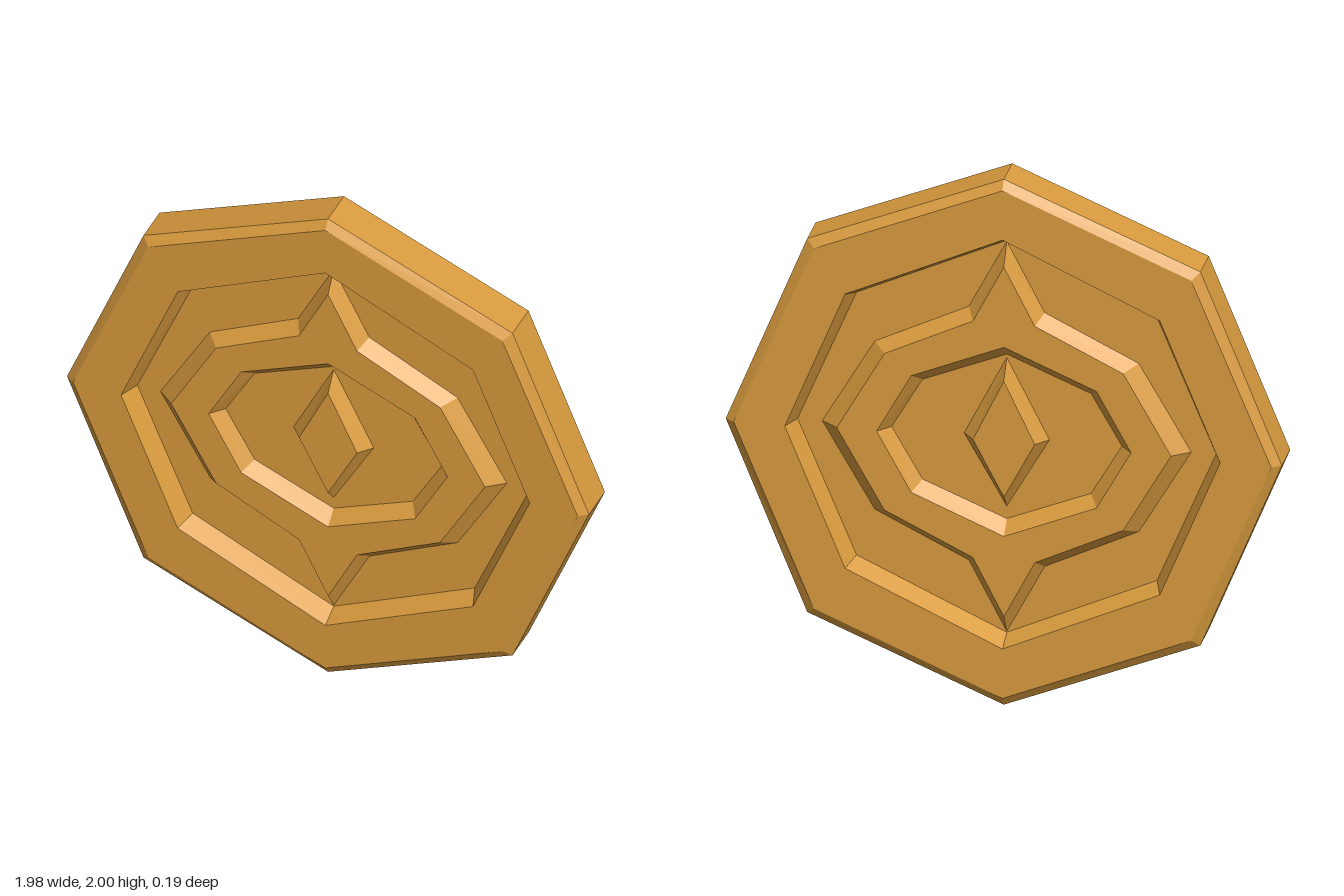
import * as THREE from 'three';

const RIM = 0.094;    // height of the rim face from the mid-plane
const RAISED = 0.07;  // height of the pointed ring and diamond
const FLOOR = 0.02;   // height of the recessed floors
const EDGE = 0.07;    // half height of the outer side wall

const gold = new THREE.MeshStandardMaterial({ color: 0xd99b3e });
gold.name = 'gold';

// Outlines run counter-clockwise from the right; one quarter is mirrored to all four.
function outline(quarter) {
  const flipX = ([x, y]) => [-x, y];
  const flipY = ([x, y]) => [x, -y];
  const upper = [...quarter, ...quarter.slice(0, -1).reverse().map(flipX)];
  return [...upper, ...upper.slice(1, -1).reverse().map(flipY)];
}
const octagon = (rx, ry, dx, dy) => outline([[rx, 0], [dx, dy], [0, ry]]);

const rimOuter = octagon(0.99, 1, 0.7, 0.711);
const rimFace = octagon(0.957, 0.966, 0.672, 0.685);
const recessTop = octagon(0.775, 0.778, 0.56, 0.522);
const recessBase = octagon(0.745, 0.746, 0.535, 0.5);
const starBase = outline([[0.657, 0], [0.47, 0.32], [0.135, 0.483], [0, 0.742]]);
const starTop = outline([[0.595, 0], [0.425, 0.298], [0.11, 0.45], [0, 0.665]]);
const wellTop = octagon(0.453, 0.36, 0.33, 0.222);
const wellBase = octagon(0.41, 0.313, 0.3, 0.19);
// The diamond reaches further up than down
const diamondBase = [[0.152, 0], [0, 0.3], [-0.152, 0], [0, -0.265]];
const diamondTop = [[0.11, 0], [0, 0.23], [-0.11, 0], [0, -0.21]];

function mesh(name, geometry) {
  const m = new THREE.Mesh(geometry, gold);
  m.name = name;
  return m;
}

// Flat face at height z, with an optional hole
function plate(name, outer, z, hole) {
  const points = (o) => o.map(([x, y]) => new THREE.Vector2(x, y));
  const shape = new THREE.Shape(points(outer));
  if (hole) shape.holes.push(new THREE.Path(points(hole)));
  return mesh(name, new THREE.ShapeGeometry(shape).translate(0, 0, z));
}

// Faceted wall from a lower to an upper outline; inward walls are wound the other way
function wall(name, low, zLow, high, zHigh, inward = false) {
  const pos = [];
  low.forEach((_, i) => {
    const j = (i + 1) % low.length;
    const a = [...low[i], zLow], b = [...low[j], zLow];
    const c = [...high[j], zHigh], d = [...high[i], zHigh];
    pos.push(...(inward ? [a, c, b, a, d, c] : [a, b, c, a, c, d]).flat());
  });
  const g = new THREE.BufferGeometry();
  g.setAttribute('position', new THREE.Float32BufferAttribute(pos, 3));
  g.computeVertexNormals();
  return mesh(name, g);
}

function coinFace(name) {
  const face = new THREE.Group();
  face.name = name;
  face.add(
    // Rim
    wall('rimBevel', rimOuter, EDGE, rimFace, RIM),
    plate('rimFace', rimFace, RIM, recessTop),
    // Recessed ring
    wall('recessWall', recessBase, FLOOR, recessTop, RIM, true),
    plate('recessFloor', recessBase, FLOOR, starBase),
    // Raised pointed ring
    wall('pointedRingSlope', starBase, FLOOR, starTop, RAISED),
    plate('pointedRingFace', starTop, RAISED, wellTop),
    // Inner well and centre diamond
    wall('wellWall', wellBase, FLOOR, wellTop, RAISED, true),
    plate('wellFloor', wellBase, FLOOR, diamondBase),
    wall('diamondSlope', diamondBase, FLOOR, diamondTop, RAISED),
    plate('diamondFace', diamondTop, RAISED)
  );
  return face;
}

export function createModel() {
  const coin = new THREE.Group();
  coin.name = 'octagonalCoin';
  const front = coinFace('frontFace');
  const back = coinFace('backFace');
  back.rotation.y = Math.PI;
  coin.add(front, back, wall('sideWall', rimOuter, -EDGE, rimOuter, EDGE));
  coin.children.forEach((part) => { part.position.y = 1; });
  return coin;
}
